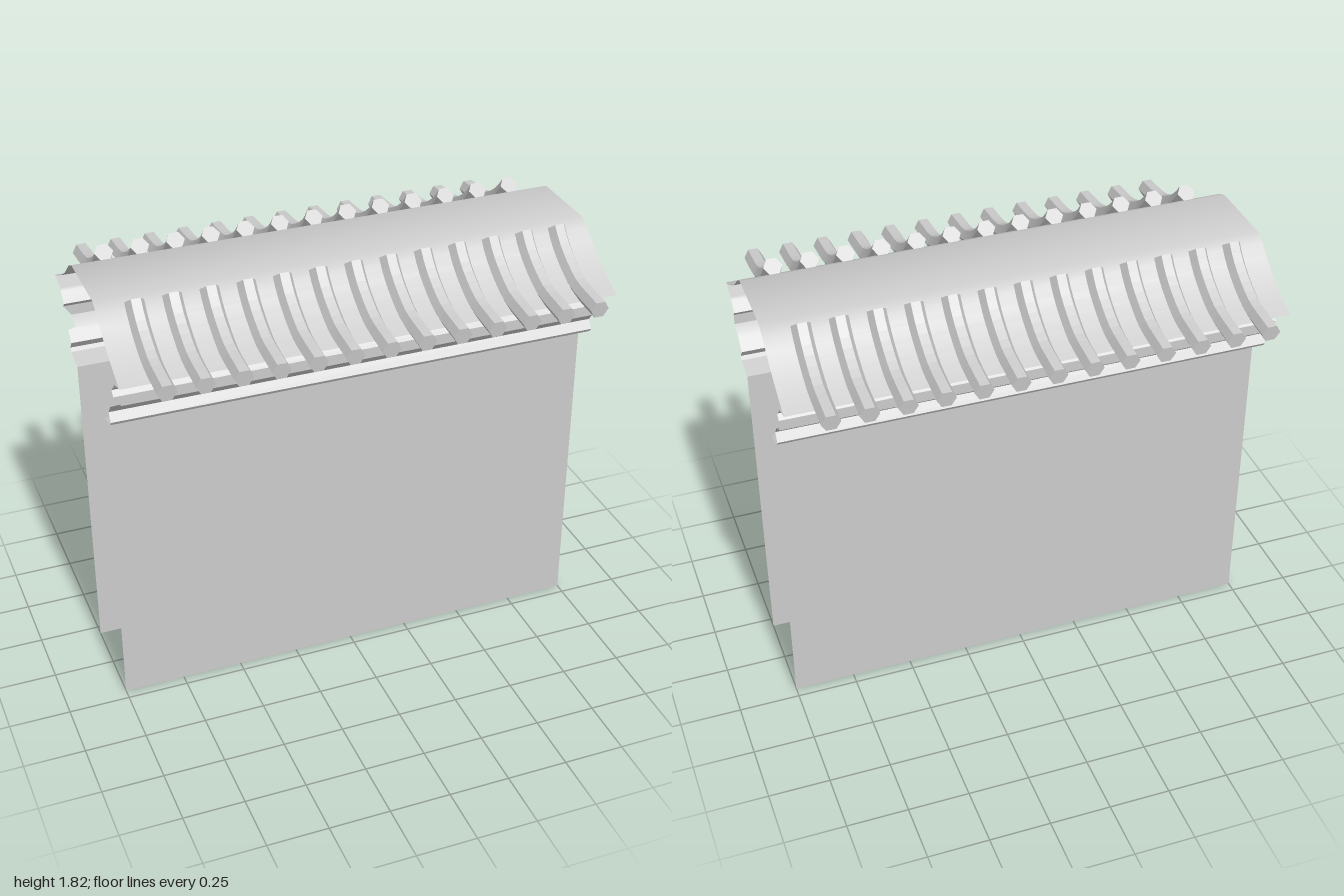
import * as THREE from 'three';
import { mergeGeometries, toCreasedNormals } from 'three/addons/utils/BufferGeometryUtils.js';

const sheetMat = new THREE.MeshStandardMaterial({ color: 0xcccccc, side: THREE.DoubleSide });
const tileMat = new THREE.MeshStandardMaterial({ color: 0xcccccc, side: THREE.DoubleSide, flatShading: true });

// Sweeps an open profile of [z, y, leftX] points along x
function sheet(name, profile) {
  const pos = [], index = [];
  profile.forEach(([z, y, left = -1], i) => {
    pos.push(left, y, z, 1, y, z);
    if (i > 0) {
      const a = 2 * (i - 1);
      index.push(a, a + 2, a + 1, a + 1, a + 2, a + 3);
    }
  });
  const geo = new THREE.BufferGeometry();
  geo.setAttribute('position', new THREE.Float32BufferAttribute(pos, 3));
  geo.setIndex(index);
  const mesh = new THREE.Mesh(toCreasedNormals(geo, 0.5), sheetMat);
  mesh.name = name;
  return mesh;
}

// Hexagonal tile rib, curving down and out towards +z, with closed ends
function ribGeometry() {
  const path = new THREE.CatmullRomCurve3([
    [0.212, 1.803], [0.25, 1.757], [0.3, 1.715], [0.36, 1.678], [0.43, 1.647], [0.6, 1.627],
  ].map(([z, y]) => new THREE.Vector3(0, y, z)));
  const parts = [new THREE.TubeGeometry(path, 10, 0.0375, 6)];
  for (const t of [0, 1]) {
    const dir = path.getTangent(t).multiplyScalar(t ? 1 : -1);
    const p = path.getPoint(t);
    parts.push(new THREE.CircleGeometry(0.0375, 6)
      .rotateX(Math.atan2(-dir.y, dir.z))
      .translate(p.x, p.y, p.z));
  }
  return mergeGeometries(parts);
}

export function createModel() {
  const group = new THREE.Group();
  const mirrorZ = (profile) => profile.map(([z, y, left]) => [-z, y, left]).reverse();

  // Roof: flat ridge with concave slopes on both sides
  const slope = [
    [0.155, 1.8], [0.205, 1.775], [0.25, 1.735], [0.3, 1.697],
    [0.36, 1.66], [0.42, 1.629], [0.48, 1.605],
  ];
  group.add(sheet('roof', [...mirrorZ(slope), ...slope]));

  // Stepped cornice under each eave, with a small notch at one end
  const cornice = [
    [0.48, 1.605], [0.4, 1.585], [0.395, 1.572], [0.355, 1.535], [0.375, 1.515],
    [0.375, 1.472, -0.97], [0.32, 1.445, -0.97], [0.315, 1.44], [0.28, 1.398],
    [0.305, 1.365], [0.295, 1.35], [0.205, 1.33],
  ];
  const wall = [[0.205, 1.33], [0.205, 0]];
  group.add(sheet('frontCornice', cornice), sheet('backCornice', mirrorZ(cornice)));
  group.add(sheet('frontWall', wall), sheet('backWall', mirrorZ(wall)));

  // Rows of tile ribs on both slopes
  const rib = ribGeometry();
  for (const side of ['front', 'back']) {
    const row = new THREE.Group();
    row.name = side + 'TileRibs';
    for (let i = 0; i < 13; i++) {
      const mesh = new THREE.Mesh(rib, tileMat);
      mesh.name = 'tileRib';
      mesh.position.x = (i - 6) * 0.143;
      row.add(mesh);
    }
    if (side === 'back') row.rotation.y = Math.PI;
    group.add(row);
  }
  return group;
}
